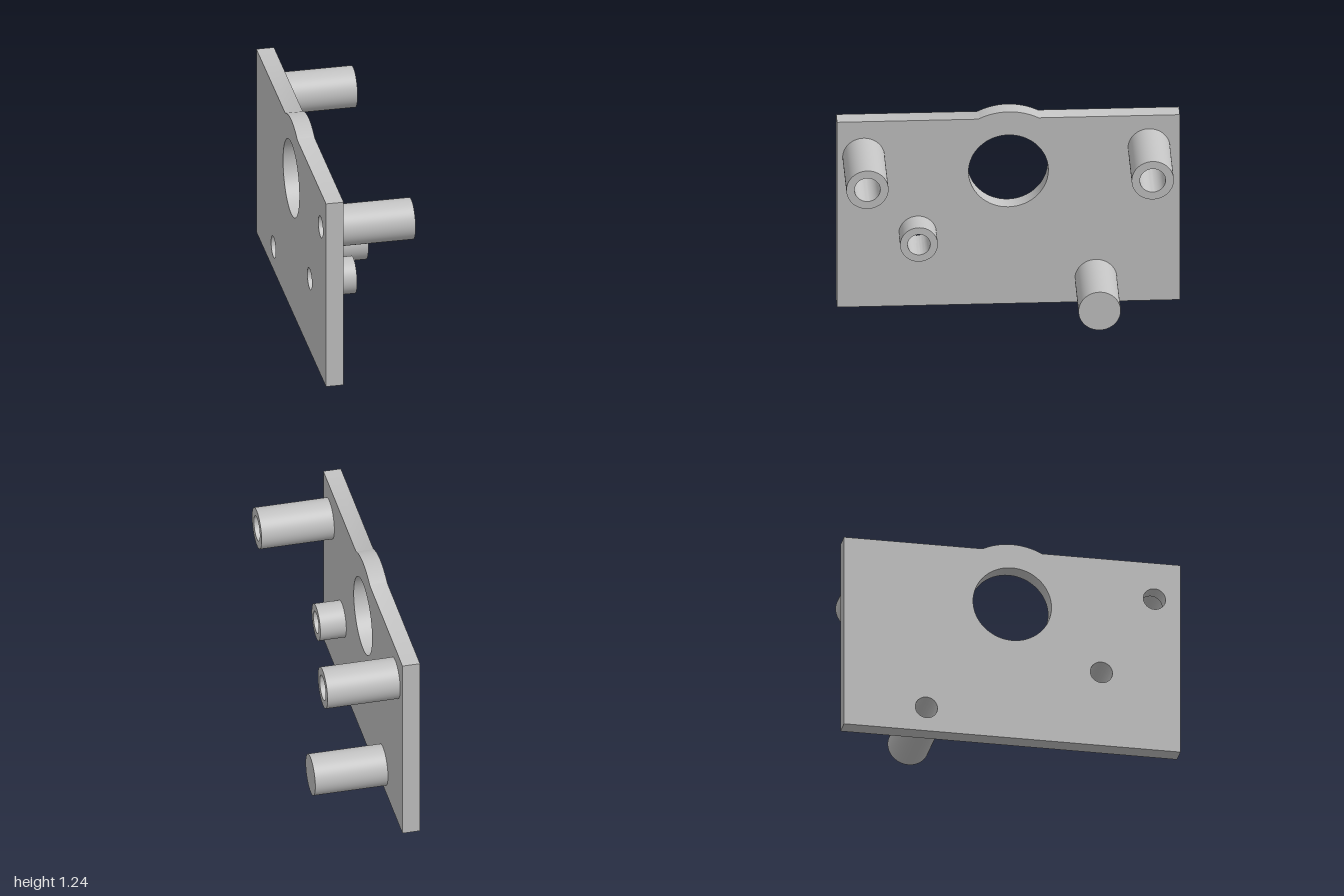
import * as THREE from 'three';
import { toCreasedNormals } from 'three/addons/utils/BufferGeometryUtils.js';

const BACK = -0.27, FACE = -0.165, TIP = 0.27;
const PLATE_BORE = 0.066, POST_BORE = 0.075, POST_R = 0.123;

export function createModel() {
  const model = new THREE.Group();
  model.name = 'mountingPlate';
  const grey = new THREE.MeshStandardMaterial({ color: 0xc4c4c4 });
  grey.name = 'grey';

  const add = (name, geometry, parent = model) => {
    const mesh = new THREE.Mesh(geometry, grey);
    mesh.name = name;
    parent.add(mesh);
    return mesh;
  };

  // Turned part along +x from [radius, x] profile points
  const turned = (points) => {
    const g = new THREE.LatheGeometry(points.map(([r, x]) => new THREE.Vector2(r, x)), 64);
    g.rotateZ(-Math.PI / 2);
    return toCreasedNormals(g, 0.6);
  };

  // Plate outline, drawn in (-z, y), with a raised arc concentric to the large opening
  const openY = 0.86, arcR = 0.383, top = 1.2;
  const a = Math.asin((top - openY) / arcR);
  const outline = new THREE.Shape();
  outline.moveTo(-1, 0);
  outline.lineTo(1, 0);
  outline.lineTo(1, top);
  outline.lineTo(arcR * Math.cos(a), top);
  outline.absarc(0, openY, arcR, a, Math.PI - a, false);
  outline.lineTo(-1, top);
  outline.closePath();

  // Large opening and the three small through holes: [z, y, radius]
  for (const [z, y, r] of [
    [0, openY, 0.233],
    [0.845, 0.97, PLATE_BORE],
    [0.53, 0.47, PLATE_BORE],
    [-0.51, 0.15, PLATE_BORE],
  ]) {
    const hole = new THREE.Path();
    hole.absarc(-z, y, r, 0, Math.PI * 2, true);
    outline.holes.push(hole);
  }
  const plate = new THREE.ExtrudeGeometry(outline, {
    depth: FACE - BACK, bevelEnabled: false, curveSegments: 32,
  });
  plate.rotateY(Math.PI / 2);
  plate.translate(BACK, 0, 0);
  add('plate', toCreasedNormals(plate, 0.6));

  // Upper front post, bored right through
  add('upperFrontPost', turned([
    [POST_R, FACE], [POST_R, TIP], [POST_BORE, TIP], [POST_BORE, FACE],
  ])).position.set(0, 0.97, 0.845);

  // Short bored boss
  add('shortBoss', turned([
    [0.11, FACE], [0.11, -0.01], [PLATE_BORE, -0.01], [PLATE_BORE, FACE],
  ])).position.set(0, 0.47, 0.53);

  // Upper rear post, with a blind bore open at the tip
  add('upperRearPost', turned([
    [POST_R, FACE], [POST_R, TIP], [POST_BORE, TIP], [POST_BORE, FACE + 0.03],
    [PLATE_BORE, FACE + 0.03], [PLATE_BORE, FACE + 0.002], [0, FACE + 0.002],
  ])).position.set(0, 0.99, -0.82);

  // Lower rear post, closed at the tip and bored from the back of the plate
  const lower = new THREE.Group();
  lower.name = 'lowerRearPost';
  lower.position.set(0, 0.15, -0.51);
  add('postShell', turned([[POST_R, FACE], [POST_R, TIP], [0, TIP]]), lower);
  add('blindBore', turned([[0, 0.15], [PLATE_BORE, 0.15], [PLATE_BORE, FACE]]), lower);
  model.add(lower);

  return model;
}
